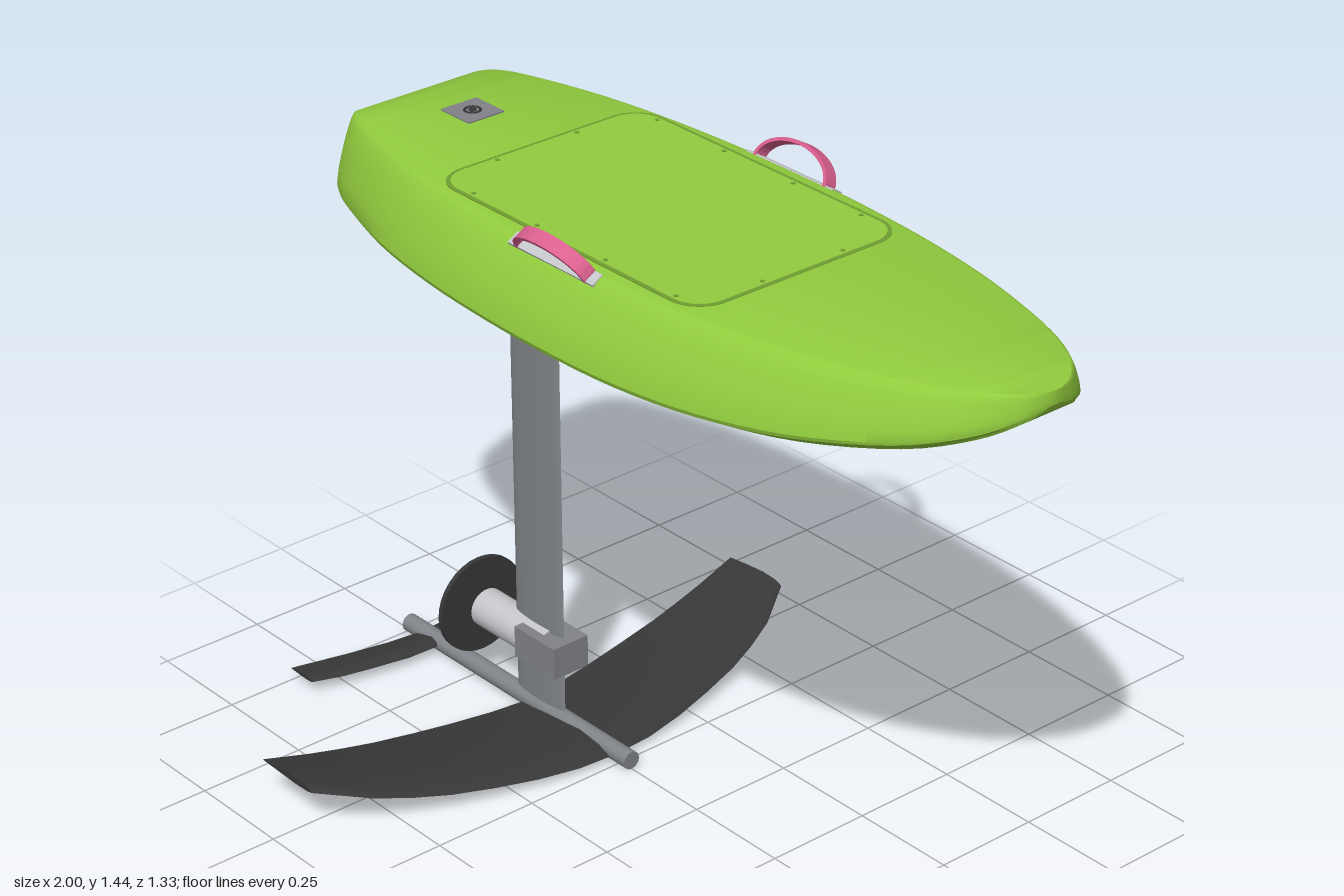
import * as THREE from 'three';
import { toCreasedNormals } from 'three/addons/utils/BufferGeometryUtils.js';

const mat = (name, color, side = THREE.FrontSide) => {
  const m = new THREE.MeshStandardMaterial({ color, side });
  m.name = name;
  return m;
};

// Skin through closed rings, capped at both ends; skip(i, j) leaves a quad open
function loft(rings, crease, skip = () => false) {
  const pos = [], n = rings[0].length;
  const tri = (...pts) => pts.forEach(p => pos.push(p.x, p.y, p.z));
  for (let i = 0; i < rings.length - 1; i++) {
    for (let j = 0; j < n; j++) {
      if (skip(i, j)) continue;
      const k = (j + 1) % n;
      const a = rings[i][j], b = rings[i][k], c = rings[i + 1][k], d = rings[i + 1][j];
      tri(a, d, c);
      tri(a, c, b);
    }
  }
  [rings[0], rings[rings.length - 1]].forEach((ring, end) => {
    const mid = ring.reduce((s, p) => s.add(p), new THREE.Vector3()).divideScalar(n);
    ring.forEach((p, j) => {
      const q = ring[(j + 1) % n];
      end ? tri(mid, q, p) : tri(mid, p, q);
    });
  });
  const g = new THREE.BufferGeometry();
  g.setAttribute('position', new THREE.Float32BufferAttribute(pos, 3));
  return toCreasedNormals(g, crease);
}

function roundRect(w, h, r, Type = THREE.Shape) {
  const s = new Type(), x = w / 2, y = h / 2;
  s.absarc(x - r, y - r, r, 0, Math.PI / 2);
  s.absarc(-x + r, y - r, r, Math.PI / 2, Math.PI);
  s.absarc(-x + r, -y + r, r, Math.PI, Math.PI * 1.5);
  s.absarc(x - r, -y + r, r, Math.PI * 1.5, Math.PI * 2);
  s.closePath();
  return s;
}

const extrudeUp = (shape, depth) =>
  new THREE.ExtrudeGeometry(shape, { depth, bevelEnabled: false, curveSegments: 10 }).rotateX(-Math.PI / 2);

// Hull stations: x, half width, bottom, top
const STATIONS = [
  [-0.97, 0.12, 1.208, 1.32], [-0.955, 0.165, 1.204, 1.35], [-0.92, 0.205, 1.2, 1.372],
  [-0.87, 0.24, 1.2, 1.384], [-0.79, 0.275, 1.2, 1.39], [-0.6, 0.335, 1.2, 1.391],
  [-0.4, 0.37, 1.2, 1.391], [-0.2, 0.387, 1.2, 1.391], [0, 0.392, 1.2, 1.391],
  [0.2, 0.382, 1.2, 1.391], [0.4, 0.355, 1.209, 1.393], [0.6, 0.305, 1.23, 1.396],
  [0.8, 0.225, 1.27, 1.4], [0.92, 0.145, 1.312, 1.404], [0.98, 0.07, 1.348, 1.405],
  [1, 0.015, 1.375, 1.405],
];
// Half section: fraction of half width, fraction of height
const SECTION = [[0.88, 0], [0.91, 0.06], [0.99, 0.12], [1, 0.17], [0.98, 0.34], [0.94, 0.52],
  [0.9, 0.68], [0.86, 0.82], [0.82, 0.93], [0.79, 0.98], [0.76, 1]];
const RECESS = { x0: -0.79, x1: -0.2, z: 0.2, depth: 0.022 };

function hullGeometry() {
  const heights = new THREE.CatmullRomCurve3(STATIONS.map(s => new THREE.Vector3(s[0], s[2], s[3])), false, 'catmullrom');
  const widths = new THREE.CatmullRomCurve3(STATIONS.map(s => new THREE.Vector3(s[0], s[1], 0)), false, 'catmullrom');
  const steps = (STATIONS.length - 1) * 4, xs = [], rings = [];
  for (let i = 0; i <= steps; i++) {
    const { x, y: bottom, z: top } = heights.getPoint(i / steps);
    const w = widths.getPoint(i / steps).y;
    const lean = 0.02 * Math.max(0, 1 - (x + 0.97) / 0.1);
    const inner = Math.min(RECESS.z, 0.85 * 0.88 * w);
    const half = [[inner, 0], ...SECTION.map(([a, b]) => [a * w, b])]
      .map(([z, f]) => new THREE.Vector3(x + lean * f, bottom + f * (top - bottom), z));
    const other = half.map(p => new THREE.Vector3(p.x, p.y, -p.z)).reverse();
    rings.push([...half, ...other]);
    xs.push(x);
  }
  const last = rings[0].length - 1;
  return loft(rings, 0.5, (i, j) =>
    j === last && xs[i] > RECESS.x0 - 0.001 && xs[i + 1] < RECESS.x1 + 0.001);
}

// Wing with airfoil sections; rows are span fraction, leading x, trailing x
function wingGeometry(rows, span, y0, rise, thick) {
  const foil = [[0, 0.08], [0.3, 0.6], [0.65, 1], [0.88, 0.75], [0.97, 0.35], [1, 0],
    [0.9, -0.35], [0.65, -0.45], [0.3, -0.25], [0, -0.08]];
  const all = [...rows.slice(1).reverse().map(([v, a, b]) => [-v, a, b]), ...rows];
  const rings = all.map(([v, le, te]) => foil.map(([s, h]) => new THREE.Vector3(
    te + s * (le - te), y0 + rise * v * v + h * thick * (1 - 0.4 * Math.abs(v)), v * span)));
  return loft(rings, 0.7);
}

export function createModel() {
  const root = new THREE.Group();
  root.name = 'foilBoard';
  const green = mat('board green', 0x92cc3e);
  const seamGreen = mat('seam green', 0x6f9e30);
  const grey = mat('mast grey', 0x808388);
  const light = mat('light grey', 0xc4c6ca);
  const carbon = mat('carbon black', 0x383838);
  const pink = mat('strap pink', 0xdb608f, THREE.DoubleSide);

  const add = (name, geometry, material, x = 0, y = 0, z = 0, parent = root) => {
    const m = new THREE.Mesh(geometry, material);
    m.name = name;
    m.position.set(x, y, z);
    parent.add(m);
    return m;
  };
  const rod = (r, len) => new THREE.CylinderGeometry(r, r, len, 32).rotateZ(Math.PI / 2);

  // Board with an open pocket underneath
  add('board', hullGeometry(), green);
  const { x0, x1, z: rz, depth } = RECESS;
  const pocket = new THREE.BoxGeometry(x1 - x0, depth, rz * 2);
  const idx = Array.from(pocket.index.array);
  idx.splice(18, 6);
  pocket.setIndex(idx);
  pocket.clearGroups();
  pocket.scale(-1, 1, 1);
  pocket.computeVertexNormals();
  add('mountPocket', pocket, green, (x0 + x1) / 2, 1.2 + depth / 2, 0);

  // Deck hatch, its seam and screws
  const hx = -0.092;
  const seam = roundRect(0.815, 0.552, 0.075);
  seam.holes.push(roundRect(0.797, 0.534, 0.066, THREE.Path));
  add('hatchSeam', extrudeUp(seam, 0.004), seamGreen, hx, 1.389, 0);
  add('hatchLid', extrudeUp(roundRect(0.797, 0.534, 0.066), 0.005), green, hx, 1.389, 0);
  const screws = [[-0.42, -0.257], [-0.21, -0.257], [0, -0.257], [0.2, -0.257], [-0.48, -0.09], [-0.48, 0.12]];
  for (const [x, z] of screws) {
    for (const s of [1, -1]) {
      add('hatchScrew', new THREE.CylinderGeometry(0.005, 0.005, 0.003, 10), seamGreen,
        hx + s * (x - hx), 1.394, s * z);
    }
  }

  // Charging port on the tail deck
  add('portPlate', new THREE.BoxGeometry(0.094, 0.006, 0.094), grey, -0.713, 1.391, 0);
  add('portRing', new THREE.TorusGeometry(0.017, 0.003, 8, 24).rotateX(Math.PI / 2), carbon, -0.713, 1.394, 0);
  add('portCap', new THREE.CylinderGeometry(0.008, 0.008, 0.004, 16), carbon, -0.713, 1.395, 0);

  // Carry handles leaning outwards
  const strap = new THREE.Shape();
  strap.absellipse(0, 0, 0.108, 0.064, 0, Math.PI, false);
  strap.absellipse(0, 0, 0.1, 0.056, Math.PI, 0, true);
  const strapGeo = toCreasedNormals(new THREE.ExtrudeGeometry(strap,
    { depth: 0.032, bevelEnabled: false, curveSegments: 20 }).translate(0, 0, -0.016), 0.6);
  for (const s of [1, -1]) {
    const handle = new THREE.Group();
    handle.name = s > 0 ? 'leftHandle' : 'rightHandle';
    handle.position.set(-0.06, 1.382, s * 0.312);
    handle.rotation.x = s * 0.53;
    root.add(handle);
    add('strap', strapGeo, pink, 0, 0, 0, handle);
    add('handlePlate', new THREE.BoxGeometry(0.26, 0.008, 0.03), light, 0, 0, 0, handle);
  }

  // Mast with its mounting plate and bolts
  const mastShape = new THREE.Shape();
  mastShape.absellipse(0, 0, 0.082, 0.01, 0, Math.PI * 2);
  add('mast', toCreasedNormals(extrudeUp(mastShape, 1.19), 0.8), grey, -0.522, 0.02, 0);
  add('mastPlate', new THREE.BoxGeometry(0.36, 0.012, 0.22), light, -0.49, 1.211, 0);
  for (const x of [-0.605, -0.372]) {
    for (const z of [-0.065, 0.065]) {
      add('mountBolt', new THREE.CylinderGeometry(0.004, 0.004, 0.045, 10), grey, x, 1.188, z);
    }
  }

  // Motor pod and propeller disc
  add('motorClamp', new THREE.BoxGeometry(0.135, 0.076, 0.096), grey, -0.485, 0.195, 0);
  add('motor', rod(0.045, 0.23), light, -0.595, 0.195, 0);
  add('propellerShaft', rod(0.01, 0.03), grey, -0.72, 0.195, 0);
  add('propeller', rod(0.115, 0.011), carbon, -0.733, 0.195, 0);

  // Fuselage and wings
  add('fuselage', rod(0.021, 0.785), grey, -0.6075, 0.027, 0);
  add('frontWing', wingGeometry([[0, -0.265, -0.565], [0.15, -0.27, -0.575], [0.3, -0.287, -0.588],
    [0.45, -0.31, -0.6], [0.6, -0.335, -0.61], [0.72, -0.363, -0.62], [0.84, -0.398, -0.63],
    [1, -0.47, -0.645]], 0.665, 0.02, 0.08, 0.02), carbon);
  add('rearWing', wingGeometry([[0, -0.87, -0.945], [0.3, -0.872, -0.957], [0.6, -0.888, -0.975],
    [0.8, -0.9, -0.988], [1, -0.92, -1]], 0.335, 0.028, 0.008, 0.012), carbon);

  return root;
}
